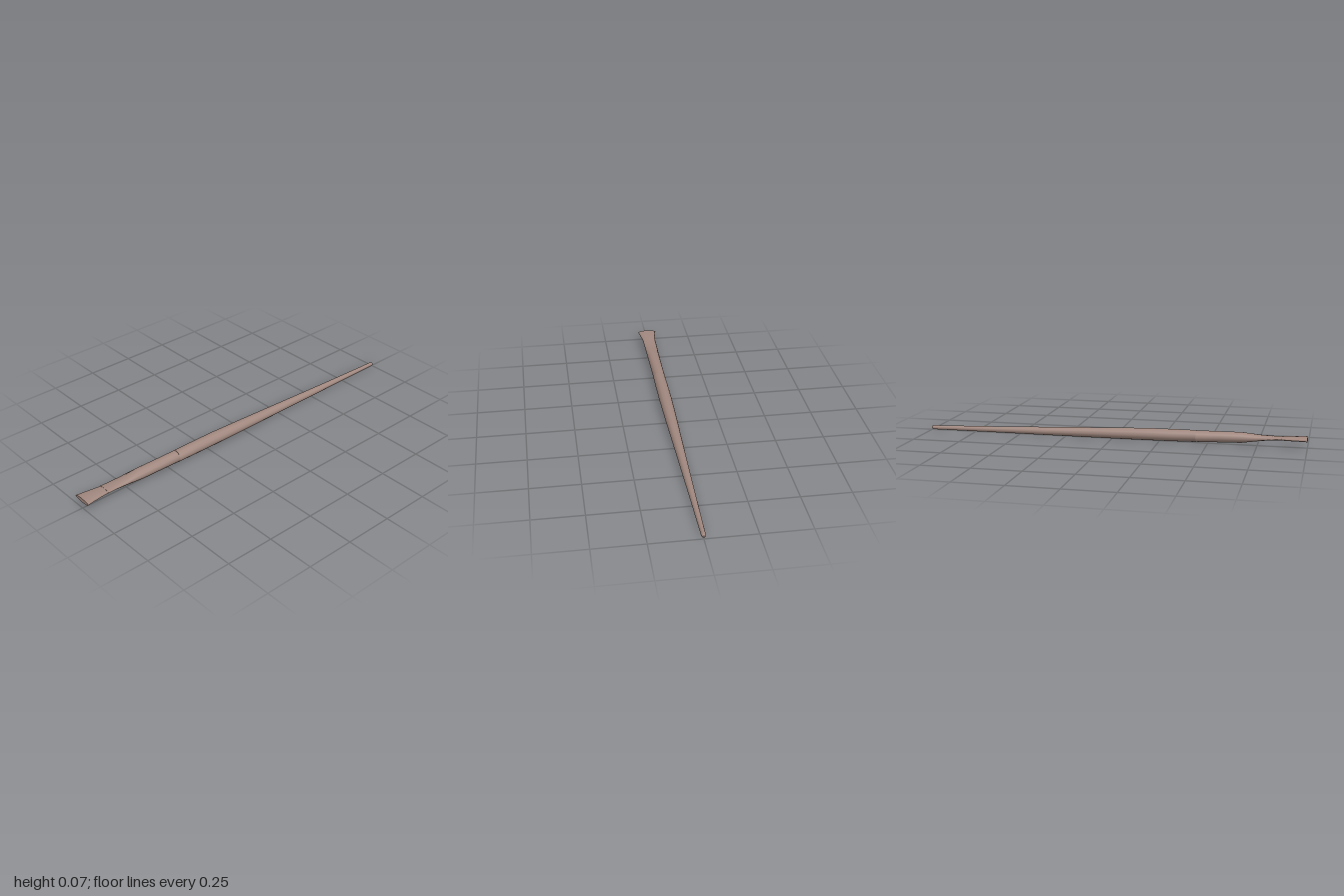
import * as THREE from 'three';

const SIDES = 12;

// Skin a closed tube over elliptical stations [x, centreY, halfHeight, halfWidth], with flat end caps
function loft(name, stations, material) {
  const positions = [], index = [];
  const addRing = ([x, cy, h, w]) => {
    const start = positions.length / 3;
    for (let i = 0; i < SIDES; i++) {
      const a = (i / SIDES) * Math.PI * 2;
      positions.push(x, cy + h * Math.cos(a), w * Math.sin(a));
    }
    return start;
  };
  const rings = stations.map(addRing);
  for (let r = 0; r < rings.length - 1; r++) {
    for (let i = 0; i < SIDES; i++) {
      const j = (i + 1) % SIDES;
      const a = rings[r] + i, b = rings[r] + j, c = rings[r + 1] + i, d = rings[r + 1] + j;
      index.push(a, b, c, b, d, c);
    }
  }
  // Caps have their own vertices so their rims stay sharp
  const first = addRing(stations[0]);
  const last = addRing(stations[stations.length - 1]);
  for (let i = 1; i < SIDES - 1; i++) {
    index.push(first, first + i + 1, first + i);
    index.push(last, last + i, last + i + 1);
  }
  const geometry = new THREE.BufferGeometry();
  geometry.setAttribute('position', new THREE.Float32BufferAttribute(positions, 3));
  geometry.setIndex(index);
  geometry.computeVertexNormals();
  const mesh = new THREE.Mesh(geometry, material);
  mesh.name = name;
  return mesh;
}

export function createModel() {
  const group = new THREE.Group();
  group.name = 'paintbrush';
  const material = new THREE.MeshStandardMaterial({ color: 0xa1887f });

  // Flat bristles, fanning out towards the tip
  group.add(loft('bristles', [
    [-1, 0.048, 0.011, 0.052],
    [-0.96, 0.048, 0.011, 0.046],
    [-0.91, 0.047, 0.010, 0.039],
    [-0.86, 0.046, 0.008, 0.034],
  ], material));

  // Ferrule, pinched flat at the bristles and round at the handle
  group.add(loft('ferrule', [
    [-0.875, 0.047, 0.009, 0.037],
    [-0.83, 0.046, 0.009, 0.036],
    [-0.77, 0.044, 0.014, 0.035],
    [-0.67, 0.041, 0.028, 0.034],
    [-0.56, 0.039, 0.029, 0.033],
    [-0.44, 0.037, 0.030, 0.033],
  ], material));

  // Long tapering handle with a rounded end
  group.add(loft('handle', [
    [-0.44, 0.037, 0.031, 0.033],
    [-0.32, 0.036, 0.032, 0.034],
    [-0.19, 0.035, 0.032, 0.034],
    [0, 0.0315, 0.029, 0.031],
    [0.35, 0.025, 0.022, 0.023],
    [0.7, 0.019, 0.015, 0.016],
    [0.985, 0.015, 0.011, 0.011],
    [0.995, 0.015, 0.009, 0.009],
    [1, 0.015, 0.005, 0.005],
  ], material));

  // Rest the lowest point on the ground
  const low = new THREE.Box3().setFromObject(group).min.y;
  group.children.forEach((part) => { part.position.y -= low; });
  return group;
}
